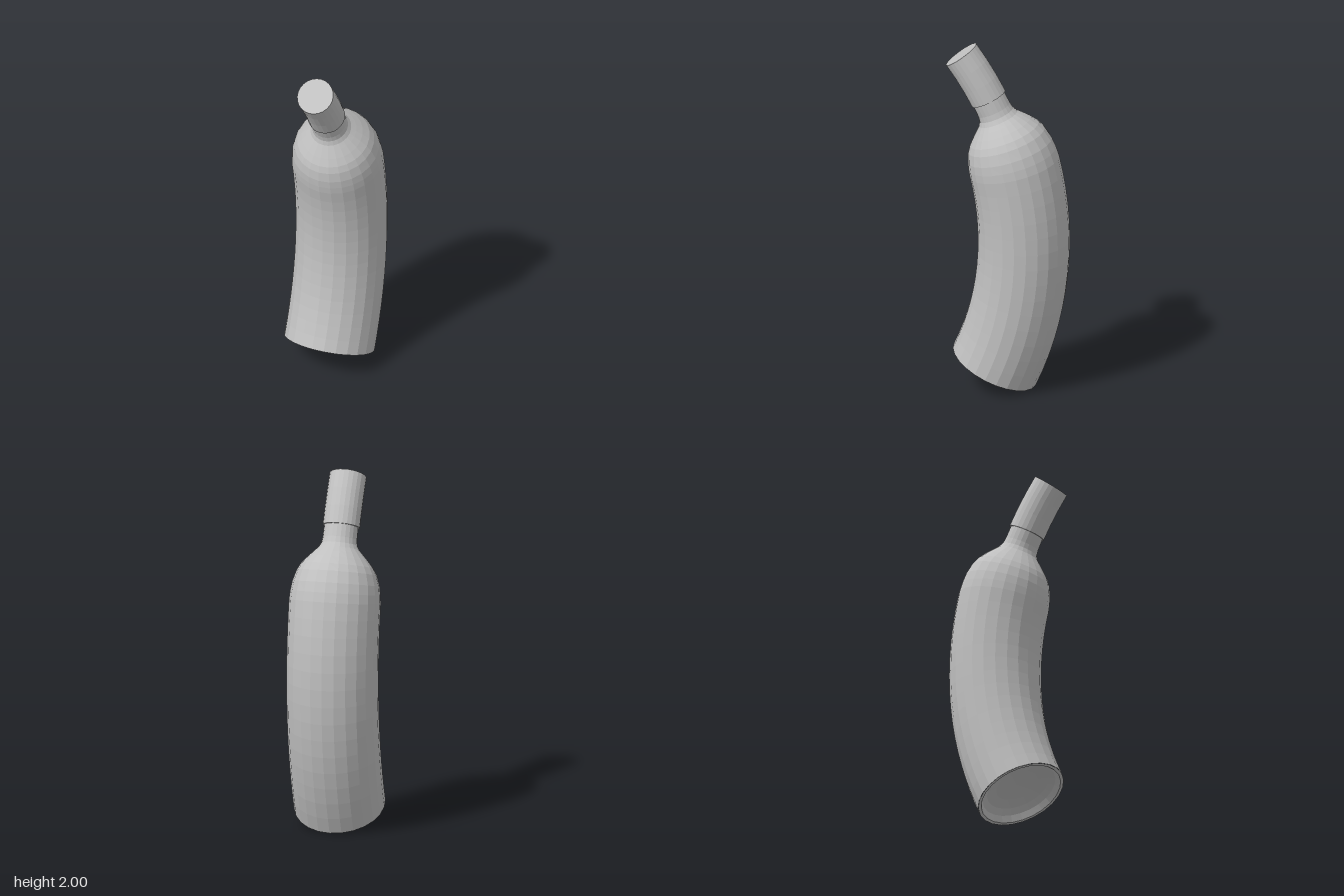
import * as THREE from 'three';

const SIDES = 24;
const RADIUS = 1.81;                       // radius of the bend
const DEG = Math.PI / 180;

// Lathes a profile of [radius, bend angle in degrees], then bends it along an arc towards +z.
function bentLathe(profile) {
  const points = profile.map(([r, a]) => new THREE.Vector2(r, a * DEG * RADIUS));
  const geometry = new THREE.LatheGeometry(points, SIDES);
  const pos = geometry.attributes.position;
  for (let i = 0; i < pos.count; i++) {
    const angle = pos.getY(i) / RADIUS;
    const rho = RADIUS - pos.getZ(i);
    pos.setXYZ(i, pos.getX(i), rho * Math.sin(angle), RADIUS - rho * Math.cos(angle));
  }
  geometry.rotateY(13.6 * DEG);            // turn the bend slightly to the left
  geometry.translate(-0.018, 0.86, -0.085);
  geometry.computeVertexNormals();
  return geometry;
}

export function createModel() {
  const group = new THREE.Group();
  const grey = new THREE.MeshStandardMaterial({ color: 0xc0c0c0, flatShading: true });
  grey.name = 'lightGrey';

  const add = (name, profile) => {
    const mesh = new THREE.Mesh(bentLathe(profile), grey);
    mesh.name = name;
    group.add(mesh);
  };

  // Hollow dish under the base
  const base = -24.6;
  add('baseDish', [[0, base + 2.2], [0.12, base + 2.05], [0.18, base + 1.65],
    [0.215, base + 1], [0.235, base], [0.253, base]]);

  // Straight-sided body, cut into rings so it follows the bend
  const body = [];
  const rings = 14;
  for (let i = 0; i <= rings; i++) body.push([0.254, base + (14 - base) * i / rings]);
  add('body', body);

  // Rounded shoulder running into the neck
  add('shoulderAndNeck', [[0.254, 14], [0.25, 15.5], [0.242, 17.1], [0.223, 19], [0.202, 20.2],
    [0.17, 21.4], [0.14, 22.4], [0.115, 23.2], [0.101, 24], [0.096, 25], [0.095, 27.3]]);

  // Cap with a small step over the neck
  add('cap', [[0.09, 27.2], [0.103, 27.2], [0.103, 30.3], [0.103, 33.4], [0.103, 36.5], [0, 36.5]]);

  return group;
}
